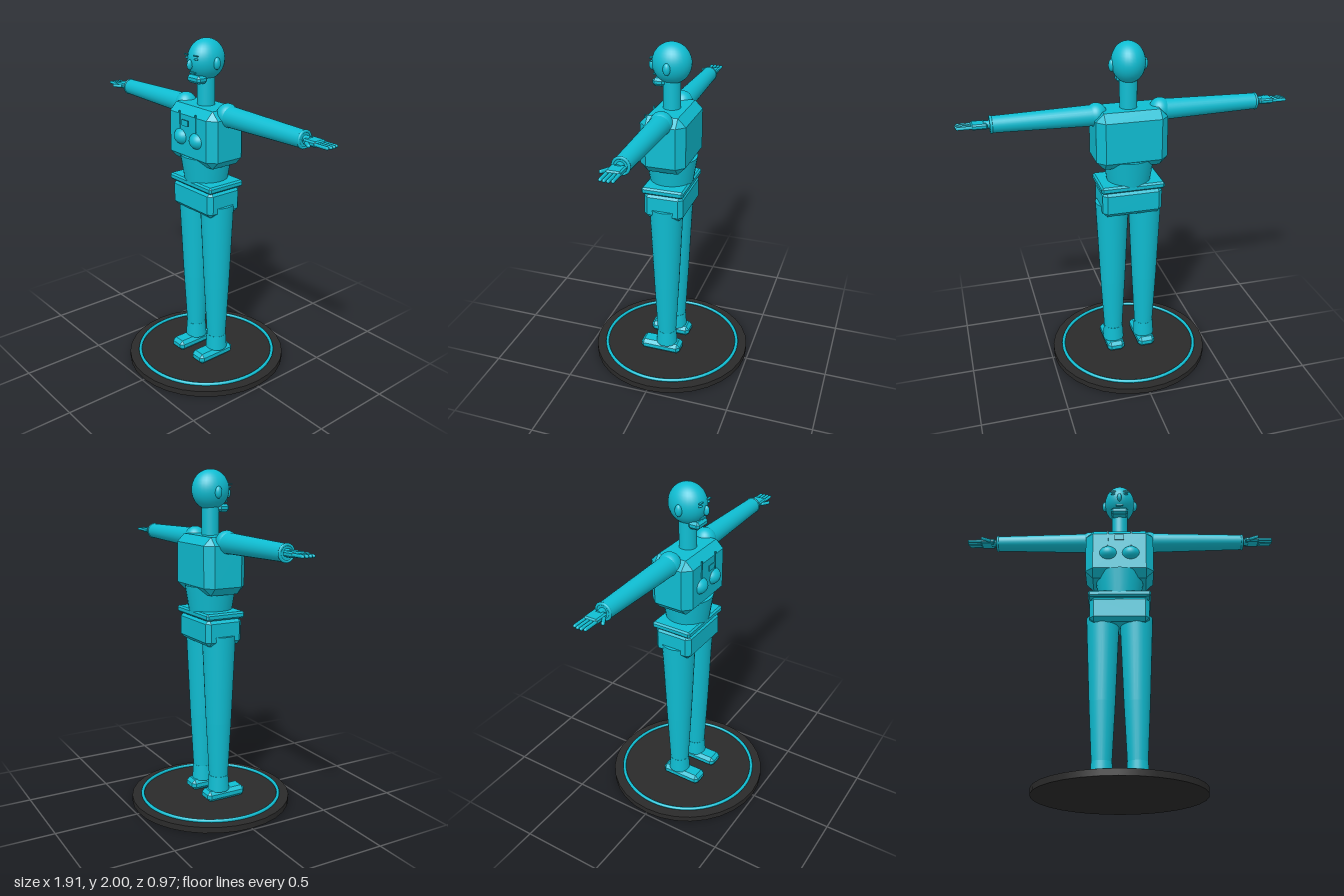
import * as THREE from 'three';
import { ConvexGeometry } from 'three/addons/geometries/ConvexGeometry.js';

export function createModel() {
  const model = new THREE.Group();
  const teal = new THREE.MeshStandardMaterial({ color: 0x0fbdd2 });
  teal.name = 'teal';
  const black = new THREE.MeshStandardMaterial({ color: 0x2a2a2a });
  black.name = 'black';

  const add = (name, geometry, x, y, z, parent = model, material = teal) => {
    const mesh = new THREE.Mesh(geometry, material);
    mesh.name = name;
    mesh.position.set(x, y, z);
    parent.add(mesh);
    return mesh;
  };

  // Box with every edge and corner cut off by c
  const chamferBox = (w, h, d, c) => {
    const points = [];
    for (const sx of [-1, 1]) for (const sy of [-1, 1]) for (const sz of [-1, 1]) {
      for (let axis = 0; axis < 3; axis++) {
        const cut = [c, c, c];
        cut[axis] = 0;
        points.push(new THREE.Vector3(sx * (w / 2 - cut[0]), sy * (h / 2 - cut[1]), sz * (d / 2 - cut[2])));
      }
    }
    return new ConvexGeometry(points);
  };
  const ellipsoid = (rx, ry, rz) => new THREE.SphereGeometry(1, 28, 20).scale(rx, ry, rz);
  const cone = (top, bottom, h) => new THREE.CylinderGeometry(top, bottom, h, 28);
  // Cylinder lying along x, with its wide end towards the body
  const limb = (inner, outer, length) => cone(inner, outer, length).rotateZ(Math.PI / 2);

  // Display base
  add('base', new THREE.CylinderGeometry(0.485, 0.485, 0.035, 32), 0, 0.0175, 0, model, black);
  add('baseRing', new THREE.TorusGeometry(0.42, 0.01, 8, 64).rotateX(Math.PI / 2), 0, 0.043, 0);

  // Torso
  add('chest', chamferBox(0.415, 0.33, 0.265, 0.046), 0, 1.465, 0);
  add('waist', cone(0.15, 0.125, 0.16), 0, 1.262, 0);
  add('belt', chamferBox(0.375, 0.04, 0.25, 0.01), 0, 1.18, 0);
  add('hips', chamferBox(0.355, 0.16, 0.235, 0.025), 0, 1.085, 0);
  add('badge', new THREE.BoxGeometry(0.056, 0.034, 0.006), 0, 1.545, 0.153);

  // Head
  add('neck', cone(0.05, 0.05, 0.2), 0, 1.7, 0);
  add('skull', ellipsoid(0.095, 0.115, 0.112), 0, 1.885, 0);
  add('nose', ellipsoid(0.014, 0.028, 0.018), 0, 1.865, 0.115);
  add('chin', chamferBox(0.11, 0.045, 0.07, 0.014), 0, 1.782, 0.064);
  add('mouth', new THREE.BoxGeometry(0.045, 0.008, 0.014), 0, 1.819, 0.096);

  for (const s of [1, -1]) {
    const side = s > 0 ? 'left' : 'right';

    // Face and chest details
    add(side + 'Ear', ellipsoid(0.018, 0.034, 0.021), s * 0.094, 1.872, 0);
    add(side + 'Eye', ellipsoid(0.015, 0.006, 0.008), s * 0.04, 1.898, 0.102);
    add(side + 'Brow', new THREE.BoxGeometry(0.034, 0.006, 0.012), s * 0.04, 1.916, 0.105);
    add(side + 'Breast', ellipsoid(0.058, 0.05, 0.058), s * 0.069, 1.45, 0.107);
    add(side + 'Strap', new THREE.BoxGeometry(0.008, 0.1, 0.008), s * 0.072, 1.55, 0.133);

    // Arm, reaching straight out along x
    const arm = new THREE.Group();
    arm.name = side + 'Arm';
    model.add(arm);
    add('shoulder', ellipsoid(0.062, 0.068, 0.065), s * 0.185, 1.6, 0, arm);
    const sleeve = s > 0 ? limb(0.046, 0.06, 0.59) : limb(0.06, 0.046, 0.59);
    // limb() points its first radius to -x
    sleeve.rotateY(Math.PI);
    add('sleeve', sleeve, s * 0.475, 1.598, 0, arm);
    add('cuff', new THREE.TorusGeometry(0.042, 0.008, 10, 28).rotateY(Math.PI / 2), s * 0.765, 1.598, 0, arm);
    add('wrist', limb(0.022, 0.022, 0.06), s * 0.775, 1.6, 0, arm);
    add('palm', chamferBox(0.088, 0.03, 0.08, 0.008), s * 0.828, 1.6, 0, arm);
    for (let i = 0; i < 4; i++) {
      const finger = new THREE.CapsuleGeometry(0.009, 0.075, 4, 10).rotateZ(Math.PI / 2);
      add('finger', finger, s * (i === 0 || i === 3 ? 0.905 : 0.91), 1.6, (i - 1.5) * 0.021, arm);
    }
    const thumb = add('thumb', new THREE.CapsuleGeometry(0.01, 0.045, 4, 10).rotateZ(Math.PI / 2), s * 0.835, 1.598, 0.053, arm);
    thumb.rotation.y = -s * 0.55;

    // Leg and shoe
    const leg = new THREE.Group();
    leg.name = side + 'Leg';
    leg.position.x = s * 0.1;
    model.add(leg);
    add('thigh', cone(0.099, 0.076, 0.53), 0, 0.795, 0, leg);
    add('shin', cone(0.076, 0.054, 0.41), 0, 0.325, 0, leg);
    add('ankleCuff', cone(0.059, 0.065, 0.095), 0, 0.143, 0, leg);
    add('shoe', chamferBox(0.108, 0.065, 0.255, 0.02), 0, 0.068, 0.033, leg);
  }
  return model;
}
